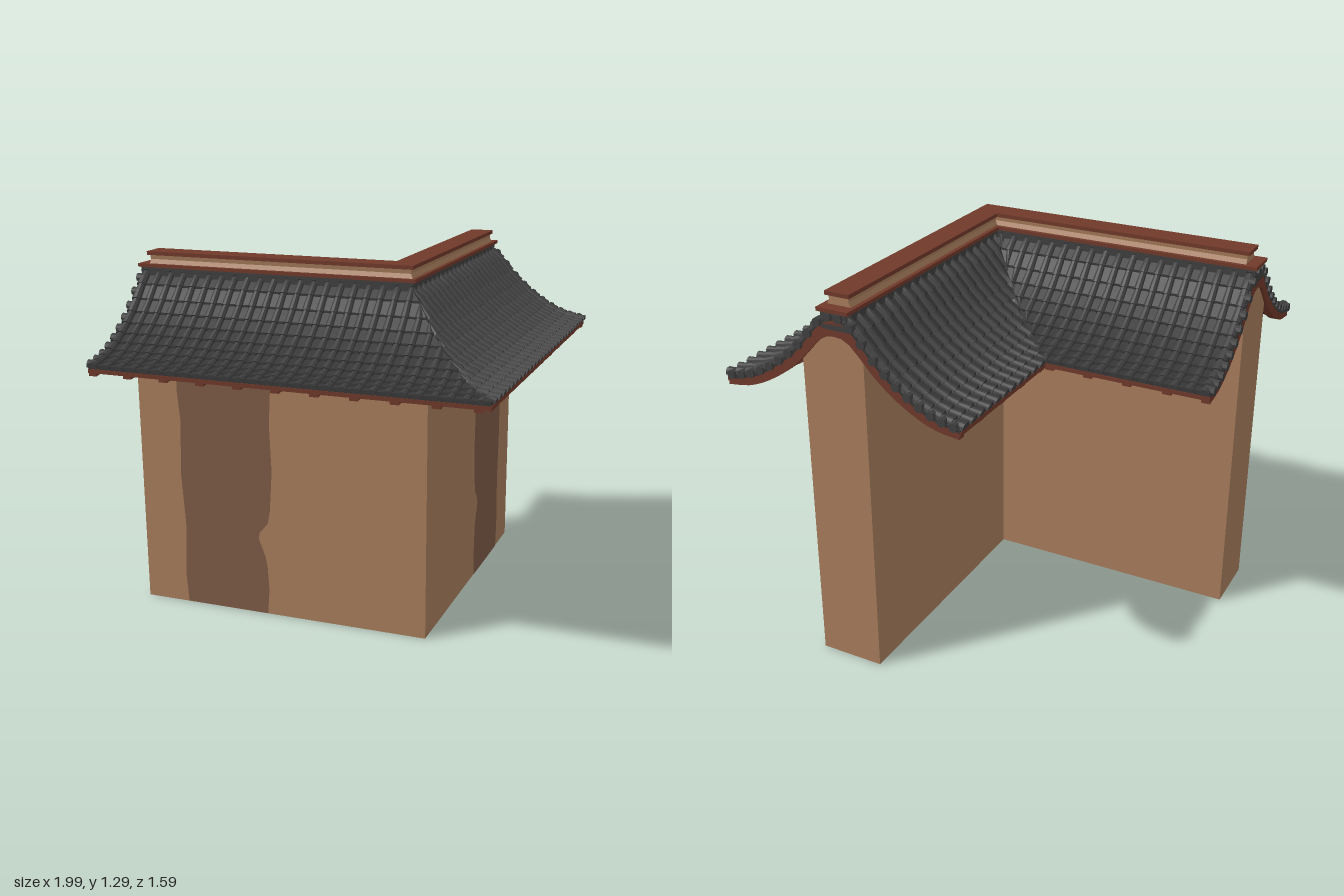
import * as THREE from 'three';
import { mergeGeometries, toCreasedNormals } from 'three/addons/utils/BufferGeometryUtils.js';

const mat = (name, color) => new THREE.MeshStandardMaterial({ name, color });
const M = {
  wall: mat('plaster', 0xa87d5c),
  stain: mat('stained plaster', 0x7d5b46),
  tile: mat('cover tile', 0x3f3f3f),
  trough: mat('pan tile', 0x363636),
  red: mat('red timber', 0x70392a),
  soffit: mat('dark soffit', 0x46231a),
};

// Each arm is built in its own frame: x runs along the arm from the corner,
// y is up, z points to the outer side. The two arms meet in the plane x = -z.
const END = 0.978, EAVE = 0.42, ROWS = 11, CORNER_Z = 0.19;
const PROFILE = [[0, 1.222], [0.04, 1.21], [0.07, 1.182], [0.14, 1.102], [0.226, 1.03], [0.325, 0.974], [0.43, 0.949]];

// Height of the roof bed at a distance d from the ridge
function bed(d) {
  d = Math.min(Math.abs(d), 0.43);
  let i = 0;
  while (i < PROFILE.length - 2 && d > PROFILE[i + 1][0]) i++;
  const at = (k) => PROFILE[Math.min(k, PROFILE.length - 1)];
  const slope = (k) => (k === 0 ? 0 : (at(k + 1)[1] - at(k - 1)[1]) / (at(k + 1)[0] - at(k - 1)[0]));
  const [x0, y0] = at(i), [x1, y1] = at(i + 1), h = x1 - x0, t = (d - x0) / h;
  return y0 * (1 + 2 * t) * (1 - t) ** 2 + y1 * t * t * (3 - 2 * t)
    + h * (slope(i) * t * (1 - t) ** 2 + slope(i + 1) * t * t * (t - 1));
}
const under = (d) => bed(d) - 0.022 - 0.03 * (1 - Math.abs(d) / 0.43);

function fromTriangles(pos) {
  const g = new THREE.BufferGeometry();
  g.setAttribute('position', new THREE.Float32BufferAttribute(pos, 3));
  return g;
}

// Prism with a (z, y) section, running from x0 to x1 and cut at the mitre
function prism(section, x0, x1) {
  let pts = section.map(([z, y]) => new THREE.Vector2(z, y));
  if (THREE.ShapeUtils.isClockWise(pts)) pts = pts.reverse();
  const P = (p, x) => [Math.max(x, -p.x), p.y, p.x];
  const pos = [];
  pts.forEach((a, i) => {
    const b = pts[(i + 1) % pts.length];
    pos.push(...P(a, x0), ...P(b, x1), ...P(b, x0), ...P(a, x0), ...P(a, x1), ...P(b, x1));
  });
  for (const [a, b, c] of THREE.ShapeUtils.triangulateShape(pts, [])) {
    if (x0 > -2) pos.push(...P(pts[a], x0), ...P(pts[b], x0), ...P(pts[c], x0));
    pos.push(...P(pts[a], x1), ...P(pts[c], x1), ...P(pts[b], x1));
  }
  return fromTriangles(pos);
}
const MITRE = -9;
const box = (z0, z1, y0, y1) => [[z0, y0], [z1, y0], [z1, y1], [z0, y1]];

// Closed section between two curves over the roof width
function band(top, bottom, half, n = 32) {
  const zs = Array.from({ length: n + 1 }, (_, i) => -half + (2 * half * i) / n);
  return [...zs.map((z) => [z, bottom(z)]), ...zs.reverse().map((z) => [z, top(z)])];
}

// Overlapping pan tiles: a stepped upper line over the roof bed
function panSection() {
  const half = [];
  for (let r = 0; r < ROWS; r++) {
    const a = (EAVE * r) / ROWS, b = (EAVE * (r + 1)) / ROWS;
    half.push([a + 0.0005, bed(a) - 0.002], [b, bed(b) + 0.006]);
  }
  const low = band(bed, (z) => bed(z) - 0.014, EAVE).slice(0, 33);
  return [...low, ...half.slice().reverse(), ...half.map(([z, y]) => [-z, y])];
}

// One column of half-round tiles, each widening towards its lower end
function tileColumn(xc, sgn, radius) {
  const from = sgn > 0 ? Math.max(0, -xc - radius) : 0;
  const to = sgn > 0 ? 0.428 : Math.min(0.428, xc + radius);
  const pos = [], K = 5, step = 0.428 / ROWS;
  const ring = (d, r) => {
    const m = (bed(d + 0.004) - bed(d - 0.004)) / 0.008, l = Math.hypot(m, 1);
    return Array.from({ length: K + 1 }, (_, k) => {
      const a = (Math.PI * k) / K, h = r * Math.sin(a);
      const z = sgn * Math.min(0.432, d - (m / l) * h);
      return [Math.max(xc + r * Math.cos(a), -z), bed(d) + h / l, z];
    });
  };
  const tri = (a, b, c) => (sgn > 0 ? pos.push(...a, ...b, ...c) : pos.push(...a, ...c, ...b));
  for (let r = 0; r < ROWS; r++) {
    const a = Math.max(from, r * step), b = Math.min(to, (r + 1) * step);
    if (b - a < 0.003) continue;
    const A = ring(a, radius * 0.72), B = ring(b, radius);
    for (let k = 0; k < K; k++) {
      tri(A[k], A[k + 1], B[k + 1]);
      tri(A[k], B[k + 1], B[k]);
      if (k > 0) tri(B[0], B[k], B[k + 1]);
    }
  }
  return pos.length ? fromTriangles(pos) : null;
}

function coverTiles() {
  const parts = [];
  for (const sgn of [1, -1]) {
    for (let x = END - 0.018, i = 0; x > -0.43; x -= 0.05, i++) {
      const g = tileColumn(x, sgn, i ? 0.016 : 0.02);
      if (g) parts.push(g);
    }
    // Round tile ends along the gable
    for (let r = 0; r < ROWS; r++) {
      const d = (0.42 * (r + 0.5)) / ROWS;
      const bead = new THREE.CylinderGeometry(0.015, 0.015, 0.03, 8).rotateZ(Math.PI / 2);
      bead.translate(END - 0.006, bed(d) + 0.002, sgn * d);
      const flat = bead.toNonIndexed();
      flat.deleteAttribute('normal');
      flat.deleteAttribute('uv');
      parts.push(flat);
    }
  }
  return mergeGeometries(parts);
}

function rafters() {
  const section = band((z) => under(z) + 0.004, (z) => under(z) - 0.012, 0.412);
  const parts = [];
  for (let x = 0.82; x > -0.4; x -= 0.135) parts.push(prism(section, x, x + 0.03));
  return mergeGeometries(parts);
}

// Irregular damp patch on the outer wall face
function stainPatch() {
  const shape = new THREE.Shape();
  [[0.475, 0.002], [0.8, 0.002], [0.808, 0.12], [0.798, 0.3], [0.81, 0.5], [0.802, 0.7], [0.812, 0.82], [0.803, 1.0],
    [0.45, 1.0], [0.445, 0.85], [0.453, 0.72], [0.447, 0.55], [0.458, 0.4], [0.468, 0.35], [0.5, 0.315],
    [0.505, 0.29], [0.482, 0.23], [0.473, 0.19], [0.468, 0.1]].forEach(([x, y], i) => (i ? shape.lineTo(x, y) : shape.moveTo(x, y)));
  const g = new THREE.ShapeGeometry(shape).toNonIndexed();
  g.deleteAttribute('uv');
  g.deleteAttribute('normal');
  return g.translate(0, 0, 0.13);
}

function wallSection() {
  const top = [];
  for (let i = 0; i <= 12; i++) {
    const z = 0.127 - (0.219 * i) / 12;
    top.push([z, under(z) + 0.006]);
  }
  return [[-0.092, 0], [0.127, 0], ...top];
}

// Turn an arm part into place; the second arm is its mirror image
function place(geometry, mirrored) {
  const g = geometry.clone().rotateY(Math.PI / 4).translate(0, 0, CORNER_Z);
  if (mirrored) {
    const p = g.attributes.position;
    for (let i = 0; i < p.count; i += 3) {
      const t = [0, 1, 2].map((k) => new THREE.Vector3().fromBufferAttribute(p, i + k));
      [t[0], t[2], t[1]].forEach((v, k) => p.setXYZ(i + k, -v.x, v.y, v.z));
    }
  }
  return toCreasedNormals(g, 0.6);
}

export function createModel() {
  const model = new THREE.Group();
  model.name = 'cornerWall';
  const eaveBoards = mergeGeometries([1, -1].map((s) =>
    prism(box(s * 0.408, s * 0.422, 0.93, 0.944), MITRE, END)));
  const parts = [
    ['wall', prism(wallSection(), MITRE, 0.969), M.wall],
    ['wallStain', stainPatch(), M.stain],
    ['roofSoffit', prism(band((z) => bed(z) - 0.012, under, 0.412), MITRE, END - 0.012), M.soffit],
    ['rafters', rafters(), M.red],
    ['eaveBoards', eaveBoards, M.red],
    ['bargeBoard', prism(band((z) => bed(z) - 0.011, (z) => under(z) - 0.01, 0.418), 0.95, END), M.red],
    ['panTiles', prism(panSection(), MITRE, END), M.trough],
    ['coverTiles', coverTiles(), M.tile],
    ['ridgeBed', prism(box(-0.045, 0.045, 1.18, 1.237), MITRE, END), M.tile],
    ['ridgeFlange', prism(box(-0.056, 0.056, 1.235, 1.247), MITRE, 0.985), M.red],
    ['ridgeBand', prism([[-0.042, 1.247], [0.042, 1.247], [0.034, 1.262], [0.036, 1.278], [-0.036, 1.278], [-0.034, 1.262]], MITRE, 0.945), M.wall],
    ['ridgeCap', prism(box(-0.043, 0.043, 1.277, 1.29), MITRE, 0.955), M.red],
  ];
  for (const mirrored of [false, true]) {
    const arm = new THREE.Group();
    arm.name = mirrored ? 'rightArm' : 'leftArm';
    for (const [name, geometry, material] of parts) {
      const mesh = new THREE.Mesh(place(geometry, mirrored), material);
      mesh.name = name;
      arm.add(mesh);
    }
    model.add(arm);
  }
  return model;
}
